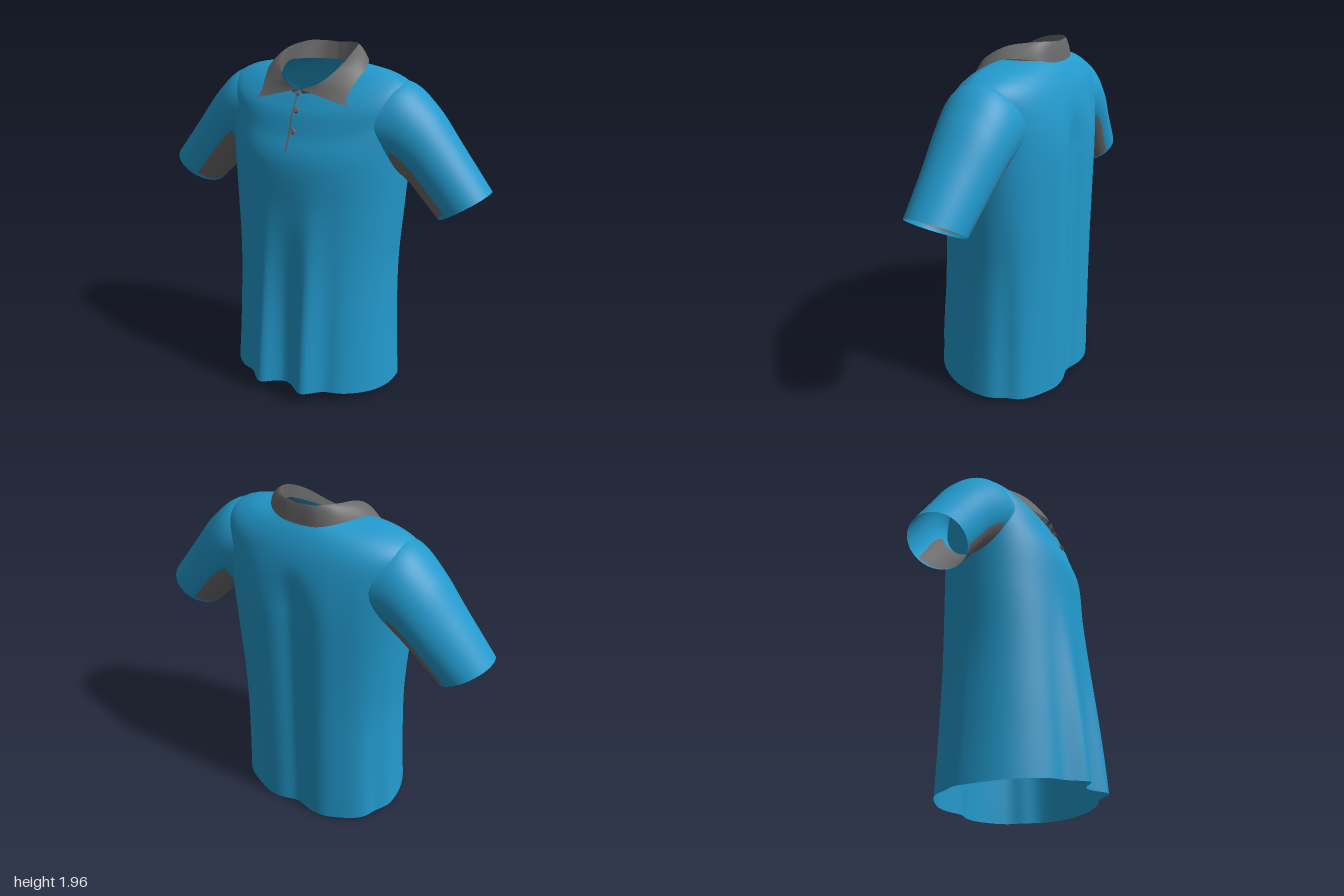
import * as THREE from 'three';

const cloth = (color) => new THREE.MeshStandardMaterial({ color, side: THREE.DoubleSide });
const blue = cloth(0x2299cc);
const grey = cloth(0x6b6b6b);

// Smooth interpolation through rows of numbers, t in 0..1
function keyed(rows, t) {
  const f = t * (rows.length - 1);
  const i = Math.min(Math.max(Math.floor(f), 0), rows.length - 2);
  const k = f - i;
  const at = (n) => rows[Math.min(Math.max(n, 0), rows.length - 1)];
  return rows[i].map((b, c) => {
    const a = at(i - 1)[c], d = at(i + 1)[c], e = at(i + 2)[c];
    return b + 0.5 * k * (d - a + k * (2 * a - 5 * b + 4 * d - e + k * (3 * (b - d) + e - a)));
  });
}

// Surface fn(u, v) -> Vector3 over a range, with smooth normals from its slopes
function surface(name, material, fn, [u0, u1, nu], [v0, v1, nv]) {
  const pos = [], nor = [], idx = [];
  for (let j = 0; j <= nv; j++) {
    for (let i = 0; i <= nu; i++) {
      const u = u0 + ((u1 - u0) * i) / nu, v = v0 + ((v1 - v0) * j) / nv;
      pos.push(...fn(u, v).toArray());
      nor.push(...normalAt(fn, u, v).toArray());
      if (i < nu && j < nv) {
        const a = j * (nu + 1) + i, c = a + nu + 1;
        idx.push(a, c, a + 1, a + 1, c, c + 1);
      }
    }
  }
  const geo = new THREE.BufferGeometry();
  geo.setAttribute('position', new THREE.Float32BufferAttribute(pos, 3));
  geo.setAttribute('normal', new THREE.Float32BufferAttribute(nor, 3));
  geo.setIndex(idx);
  const mesh = new THREE.Mesh(geo, material);
  mesh.name = name;
  return mesh;
}

function normalAt(fn, u, v) {
  const e = 0.004;
  const va = Math.max(v - e, 0), vb = Math.min(v + e, 1);
  const du = fn(u + e, v).sub(fn(u - e, v));
  const dv = fn(u, vb).sub(fn(u, va));
  return dv.cross(du).normalize();
}

// Torso rings from hem to neckline: half width, front z, back z, then y at front, side, back
const torsoRows = [
  [0.51, 0.38, -0.42, 0.07, 0.025, 0.0],
  [0.49, 0.36, -0.42, 0.38, 0.36, 0.35],
  [0.48, 0.335, -0.42, 0.75, 0.75, 0.75],
  [0.5, 0.31, -0.42, 1.1, 1.1, 1.1],
  [0.52, 0.29, -0.418, 1.37, 1.39, 1.39],
  [0.535, 0.235, -0.402, 1.52, 1.62, 1.57],
  [0.53, 0.2, -0.367, 1.62, 1.765, 1.71],
  [0.41, 0.168, -0.325, 1.68, 1.838, 1.8],
  [0.21, 0.14, -0.275, 1.73, 1.87, 1.865],
];
const bump = (x, centre, width) => Math.exp(-(((x - centre) / width) ** 2));

function torso(u, v) {
  const [w, zf, zb, yf, ys, yb] = keyed(torsoRows, v);
  const c = Math.cos(u), s = Math.sin(u), m = Math.abs(s);
  const midZ = -0.07;
  let x = w * Math.sign(c) * Math.abs(c) ** 0.92;
  const y = ys + ((s > 0 ? yf : yb) - ys) * m ** 1.5;
  let z = midZ + (s > 0 ? (zf - midZ) * m ** 0.95 : (zb - midZ) * m ** 0.78);
  // Hanging folds: two front lobes, a hollow down the back, a groove behind each side
  const low = THREE.MathUtils.smoothstep(1.35 - y, 0, 1.3);
  const ax = Math.abs(x);
  if (s > 0) {
    z += low * (0.05 * bump(ax, 0.14, 0.06) - 0.035 * bump(ax, 0, 0.07) - 0.012 * bump(ax, 0.25, 0.05));
  } else {
    const mid = 1 - THREE.MathUtils.smoothstep(y, 1.4, 1.7);
    z += mid * (0.035 * bump(ax, 0, 0.08) - 0.008 * bump(ax, 0.2, 0.07));
    x *= 1 - 0.05 * low * bump(z, -0.23, 0.06);
  }
  return new THREE.Vector3(x, y, z);
}

// Sleeve rings from armhole to cuff: top x, y, bottom x, y, centre z, half depth
const sleeveRows = [
  [0.32, 1.79, 0.43, 1.38, -0.09, 0.225],
  [0.51, 1.797, 0.5, 1.31, -0.1, 0.212],
  [0.665, 1.675, 0.575, 1.245, -0.105, 0.194],
  [0.81, 1.495, 0.65, 1.165, -0.1, 0.175],
  [0.995, 1.26, 0.73, 1.085, -0.09, 0.16],
];
const sleeve = (side) => (u, v) => {
  const [tx, ty, bx, by, cz, h] = keyed(sleeveRows, v);
  const k = (1 + Math.cos(u)) / 2;
  return new THREE.Vector3(side * (bx + (tx - bx) * k), by + (ty - by) * k, cz + h * Math.sin(u));
};

// Collar lines from centre back to the front on one side
const foldLine = [
  [0, 1.955, -0.288], [0.09, 1.96, -0.275], [0.16, 1.96, -0.21], [0.193, 1.935, -0.08],
  [0.178, 1.865, 0.055], [0.11, 1.793, 0.135], [0.012, 1.752, 0.165],
];
const leafEdge = [
  [0, 1.85, -0.3], [0.1, 1.857, -0.295], [0.19, 1.877, -0.25], [0.265, 1.885, -0.13],
  [0.29, 1.85, -0.03], [0.288, 1.77, 0.07], [0.27, 1.685, 0.15],
];
const standEdge = [
  [0, 1.86, -0.272], [0.1, 1.86, -0.25], [0.17, 1.862, -0.19], [0.205, 1.86, -0.08],
  [0.18, 1.8, 0.05], [0.11, 1.75, 0.12], [0.012, 1.722, 0.145],
];
// u runs -1..1 around the neck, v from the fold to the other edge
const collar = (edge, puff) => (u, v) => {
  const t = Math.min(Math.abs(u), 1);
  const a = new THREE.Vector3(...keyed(foldLine, t));
  const b = new THREE.Vector3(...keyed(edge, t));
  const p = a.lerp(b, v);
  const lift = puff * 4 * v * (1 - v) * (1 - t ** 4);
  p.x *= 1 + lift;
  p.y += lift * 0.6;
  p.x *= Math.sign(u) || 1;
  return p;
};

export function createModel() {
  const shirt = new THREE.Group();
  shirt.name = 'poloShirt';
  const TAU = Math.PI * 2;

  shirt.add(surface('torso', blue, torso, [0, TAU, 144], [0, 1, 72]));

  // Sleeves, each with a grey underarm panel between blue armhole and cuff bands
  for (const side of [1, -1]) {
    const arm = new THREE.Group();
    arm.name = side > 0 ? 'leftSleeve' : 'rightSleeve';
    const fn = sleeve(side), edge = 1.98;
    const under = [edge, TAU - edge, 24];
    arm.add(
      surface('sleeve', blue, fn, [-edge, edge, 44], [0, 1, 28]),
      surface('armholeBand', blue, fn, under, [0, 0.22, 6]),
      surface('underarmPanel', grey, fn, under, [0.22, 0.95, 22]),
      surface('cuffBand', blue, fn, under, [0.95, 1, 3]),
    );
    shirt.add(arm);
  }

  // Collar: turned-down leaf and the stand inside it
  shirt.add(
    surface('collarLeaf', grey, collar(leafEdge, 0.025), [-1, 1, 80], [0, 1, 8]),
    surface('collarStand', grey, collar(standEdge, 0), [-1, 1, 80], [0, 1, 4]),
  );

  // Button placket lying just proud of the chest, measured sideways from the centre
  const front = Math.PI / 2;
  const proud = (gap) => (s, v) =>
    torso(front + s / keyed(torsoRows, v)[0], v).add(new THREE.Vector3(0, gap * 0.4, gap));
  shirt.add(
    surface('placket', blue, proud(0.005), [-0.035, 0.02, 8], [0.53, 1, 24]),
    surface('placketEdge', grey, proud(0.006), [0.012, 0.021, 2], [0.54, 1, 24]),
  );

  // Buttons
  const disc = new THREE.CylinderGeometry(0.013, 0.016, 0.012, 16);
  for (const [u, v] of [[front + 0.06, 0.985], [front, 0.79], [front, 0.645]]) {
    const button = new THREE.Mesh(disc, grey);
    button.name = 'button';
    const n = normalAt(torso, u, v);
    button.position.copy(torso(u, v)).addScaledVector(n, 0.012);
    button.quaternion.setFromUnitVectors(new THREE.Vector3(0, 1, 0), n);
    shirt.add(button);
  }
  return shirt;
}
